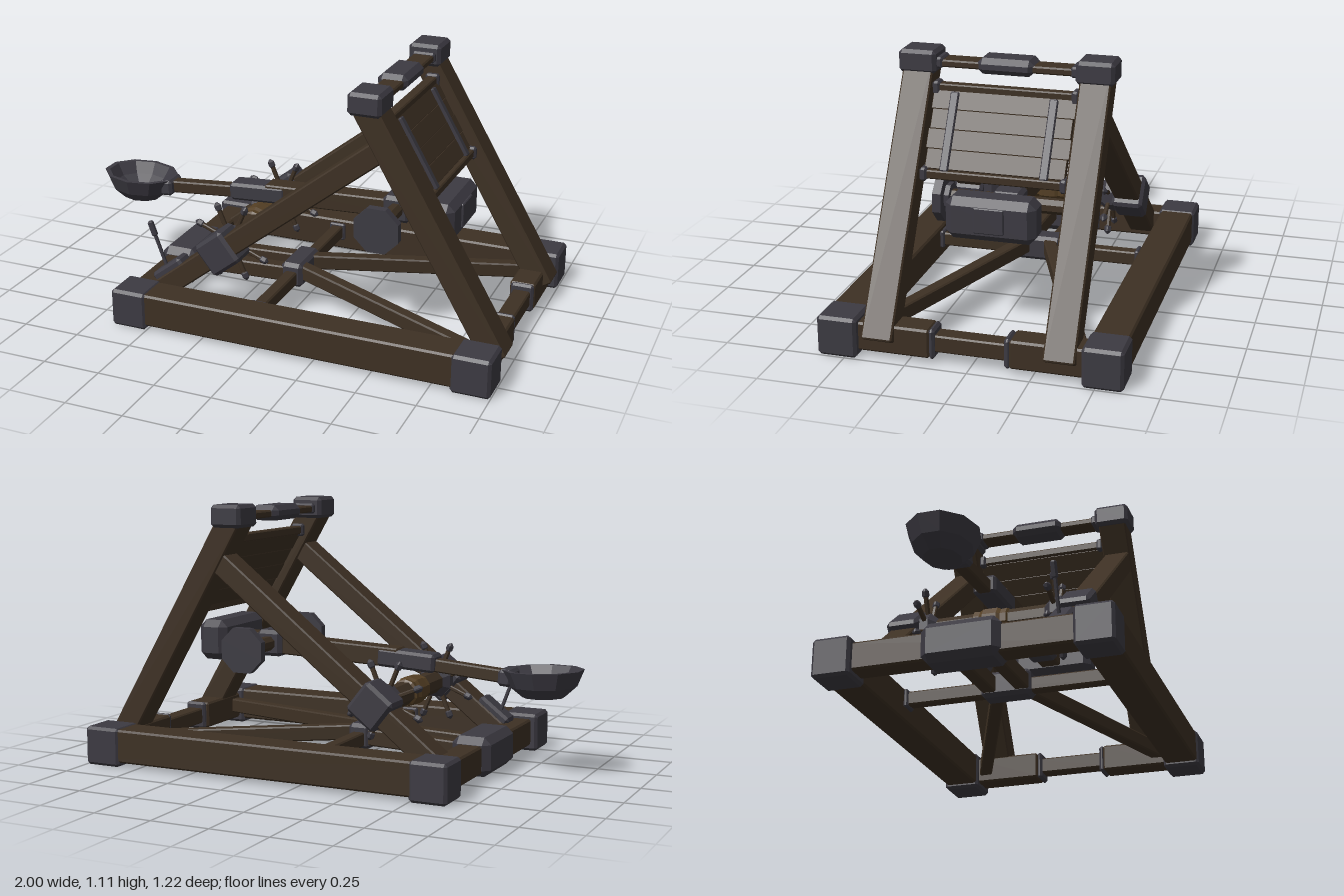
import * as THREE from 'three';
import { ConvexGeometry } from 'three/addons/geometries/ConvexGeometry.js';

const material = (name, color) => {
  const m = new THREE.MeshStandardMaterial({ color, flatShading: true, side: THREE.DoubleSide });
  m.name = name;
  return m;
};

export function createModel() {
  const root = new THREE.Group();
  root.name = 'catapult';
  const wood = material('dark wood', 0x3d3023);
  const metal = material('dark iron', 0x3c3a42);
  const rope = material('rope', 0x543f24);
  const V = (x, y, z) => new THREE.Vector3(x, y, z);

  // Box with every edge cut by c
  function chamferBox(w, h, d, c) {
    const pts = [];
    for (const i of [-1, 1]) for (const j of [-1, 1]) for (const k of [-1, 1]) {
      const x = w / 2, y = h / 2, z = d / 2;
      pts.push(V(i * x, j * (y - c), k * (z - c)), V(i * (x - c), j * y, k * (z - c)), V(i * (x - c), j * (y - c), k * z));
    }
    return new ConvexGeometry(pts);
  }
  function add(name, geo, mat, x = 0, y = 0, z = 0) {
    const m = new THREE.Mesh(geo, mat);
    m.name = name;
    m.position.set(x, y, z);
    root.add(m);
    return m;
  }
  const block = (name, mat, x, y, z, w, h, d, c = 0.012) => add(name, chamferBox(w, h, d, c), mat, x, y, z);
  // Beam from a to b, with height h and side width d
  function beam(name, mat, a, b, h, d, c = 0.006) {
    const dir = b.clone().sub(a), len = dir.length();
    dir.normalize();
    const side = dir.clone().cross(Math.abs(dir.y) > 0.99 ? V(1, 0, 0) : V(0, 1, 0)).normalize();
    const mid = a.clone().add(b).multiplyScalar(0.5);
    const m = add(name, chamferBox(len, h, d, c), mat, mid.x, mid.y, mid.z);
    m.quaternion.setFromRotationMatrix(new THREE.Matrix4().makeBasis(dir, side.clone().cross(dir), side));
    return m;
  }
  // Faceted drum along z, with separate radii at its -z and +z ends
  const drum = (name, mat, x, y, z, rBack, rFront, len, sides = 8) =>
    add(name, new THREE.CylinderGeometry(rFront, rBack, len, sides).rotateY(Math.PI / sides).rotateX(Math.PI / 2), mat, x, y, z);

  // Points along the inclined front posts and the long braces
  const postX = y => 0.41 + (1.02 - y) * 0.581;
  const braceY = x => 0.32 + (x + 0.25) * 0.786;

  for (const s of [1, -1]) {
    // Base side rails and corner caps
    block('baseRail', wood, 0.17, 0.09, s * 0.53, 1.62, 0.142, 0.146, 0.008);
    block('cornerCap', metal, -0.58, 0.083, s * 0.53, 0.16, 0.165, 0.162);
    block('cornerCap', metal, 0.918, 0.083, s * 0.53, 0.164, 0.165, 0.162);

    // Sloped posts, caps and braces
    beam('post', wood, V(postX(0.07), 0.07, s * 0.363), V(postX(1.06), 1.06, s * 0.363), 0.104, 0.125);
    block('postCap', metal, 0.402, 1.065, s * 0.363, 0.142, 0.095, 0.156, 0.014);
    beam('brace', wood, V(-0.57, braceY(-0.57), s * 0.364), V(0.46, braceY(0.46), s * 0.364), 0.09, 0.112);

    // Front cross beam halves with end bands
    block('frontCrossBeam', wood, 0.915, 0.085, s * 0.31, 0.11, 0.118, 0.3, 0.008);
    block('frontBeamBand', metal, 0.918, 0.085, s * 0.152, 0.1, 0.124, 0.026, 0.01);

    // Winch bearing on the brace
    beam('winchBearing', metal, V(-0.31, braceY(-0.31), s * 0.366), V(-0.19, braceY(-0.19), s * 0.366), 0.155, 0.136, 0.014);
    drum('winchFlange', metal, -0.25, 0.32, s * 0.248, s > 0 ? 0.05 : 0.076, s > 0 ? 0.076 : 0.05, 0.03);
    drum('winchHub', metal, -0.25, 0.32, s * 0.282, 0.076, 0.076, 0.04);
    // Winch spokes with pointed grips
    for (let i = 0; i < 8; i++) {
      const a = (i + 0.5) * Math.PI / 4;
      const at = r => V(-0.25 + r * Math.cos(a), 0.32 + r * Math.sin(a), s * 0.277);
      beam('winchSpoke', wood, at(0.06), at(0.15), 0.018, 0.018, 0.004);
      beam('spokeGrip', metal, at(0.138), at(0.182), 0.03, 0.03, 0.012);
    }

    // Pivot hubs
    drum('pivotHub', metal, 0.41, 0.487, s * 0.282, 0.104, 0.104, 0.036);
    drum('pivotCollar', metal, 0.41, 0.487, s * 0.258, 0.06, 0.06, 0.03);

    // Lower frame
    beam('rearStrut', wood, V(-0.58, 0.1, s * 0.07), V(-0.04, 0.12, s * 0.07), 0.07, 0.06);
    beam('diagonalStrut', wood, V(-0.03, 0.132, s * 0.05), V(0.9, 0.09, s * 0.43), 0.065, 0.055);
    block('middleBarEnd', metal, -0.05, 0.11, s * 0.445, 0.075, 0.08, 0.02, 0.006);

    // Panel fittings and top bar collars
    for (const y of [0.658, 0.963])
      block('panelBracket', metal, postX(y), y, s * 0.285, 0.06, 0.055, 0.03, 0.008);
    block('topBarCollar', metal, 0.405, 1.062, s * 0.277, 0.1, 0.045, 0.03, 0.008);
    beam('panelStrap', metal, V(postX(0.67) + 0.015, 0.67, s * 0.203), V(postX(0.95) + 0.015, 0.95, s * 0.203), 0.03, 0.034, 0.004);
  }

  // Cross beams
  block('frontBeamCore', wood, 0.918, 0.085, 0, 0.075, 0.07, 0.34, 0.006);
  block('rearCrossBeam', wood, -0.578, 0.085, 0, 0.106, 0.118, 0.92, 0.008);
  block('rearBeamCap', metal, -0.577, 0.093, 0, 0.17, 0.165, 0.325, 0.03);
  block('middleBar', wood, -0.05, 0.11, 0, 0.055, 0.06, 0.92, 0.006);
  block('middleBarCap', metal, -0.05, 0.12, 0, 0.1, 0.11, 0.215, 0.016);
  block('topBar', wood, 0.405, 1.06, 0, 0.09, 0.03, 0.6, 0.006);
  block('topBarClamp', metal, 0.4, 1.062, 0.002, 0.13, 0.066, 0.235, 0.022);

  // Plank stop panel between the posts
  for (const y of [0.658, 0.963])
    block('panelRail', wood, postX(y), y, 0, 0.045, 0.036, 0.58, 0.005);
  [0.57, 0.585, 0.575, 0.588].forEach((w, i) => {
    const y0 = 0.672 + i * 0.07, y1 = y0 + 0.07;
    beam('panelPlank', wood, V(postX(y0), y0, 0), V(postX(y1), y1, 0), 0.03, w, 0.002);
  });

  // Winch axle and rope winding
  drum('winchAxle', wood, -0.25, 0.32, 0, 0.05, 0.05, 0.6);
  const winding = [[0.046, -0.078], [0.058, -0.07], [0.056, -0.045], [0.064, -0.03], [0.064, 0.03], [0.056, 0.045], [0.058, 0.07], [0.046, 0.078]];
  add('ropeWinding', new THREE.LatheGeometry(winding.map(p => new THREE.Vector2(...p)), 10).rotateX(Math.PI / 2), rope, -0.25, 0.32, 0);

  // Throwing arm on its pivot
  drum('pivotAxle', wood, 0.41, 0.487, 0, 0.033, 0.033, 0.56);
  beam('armTip', wood, V(-0.7, 0.41, 0), V(-0.3, 0.442, 0), 0.054, 0.056);
  beam('armSleeve', metal, V(-0.37, 0.445, 0), V(-0.105, 0.46, 0), 0.078, 0.1, 0.012);
  beam('arm', wood, V(-0.2, 0.459, 0), V(0.58, 0.49, 0), 0.082, 0.09);
  block('pivotClamp', metal, 0.41, 0.487, 0, 0.12, 0.115, 0.125, 0.016);

  // Counterweight
  block('counterweight', metal, 0.63, 0.503, 0, 0.135, 0.175, 0.37, 0.03);
  block('counterweightPlate', metal, 0.698, 0.508, 0, 0.016, 0.106, 0.125, 0.004);

  // Bowl and socket
  const bowl = [[0, -0.118], [0.088, -0.114], [0.14, -0.07], [0.172, 0], [0.15, 0], [0.118, -0.05], [0.07, -0.082], [0, -0.086]];
  const cup = add('bowl', new THREE.LatheGeometry(bowl.map(p => new THREE.Vector2(...p)), 10), metal, -0.832, 0.452, 0);
  cup.scale.z = 0.83;
  cup.rotation.z = -0.04;
  beam('bowlSocket', metal, V(-0.715, 0.41, 0), V(-0.655, 0.414, 0), 0.07, 0.115, 0.012);

  // Release lever on the left brace
  beam('leverHousing', metal, V(-0.56, 0.135, 0.36), V(-0.43, 0.235, 0.36), 0.06, 0.09, 0.012);
  beam('leverRod', metal, V(-0.515, 0.17, 0.36), V(-0.595, 0.385, 0.36), 0.014, 0.014, 0.003);
  beam('leverGrip', metal, V(-0.573, 0.325, 0.36), V(-0.597, 0.39, 0.36), 0.024, 0.024, 0.006);

  return root;
}
